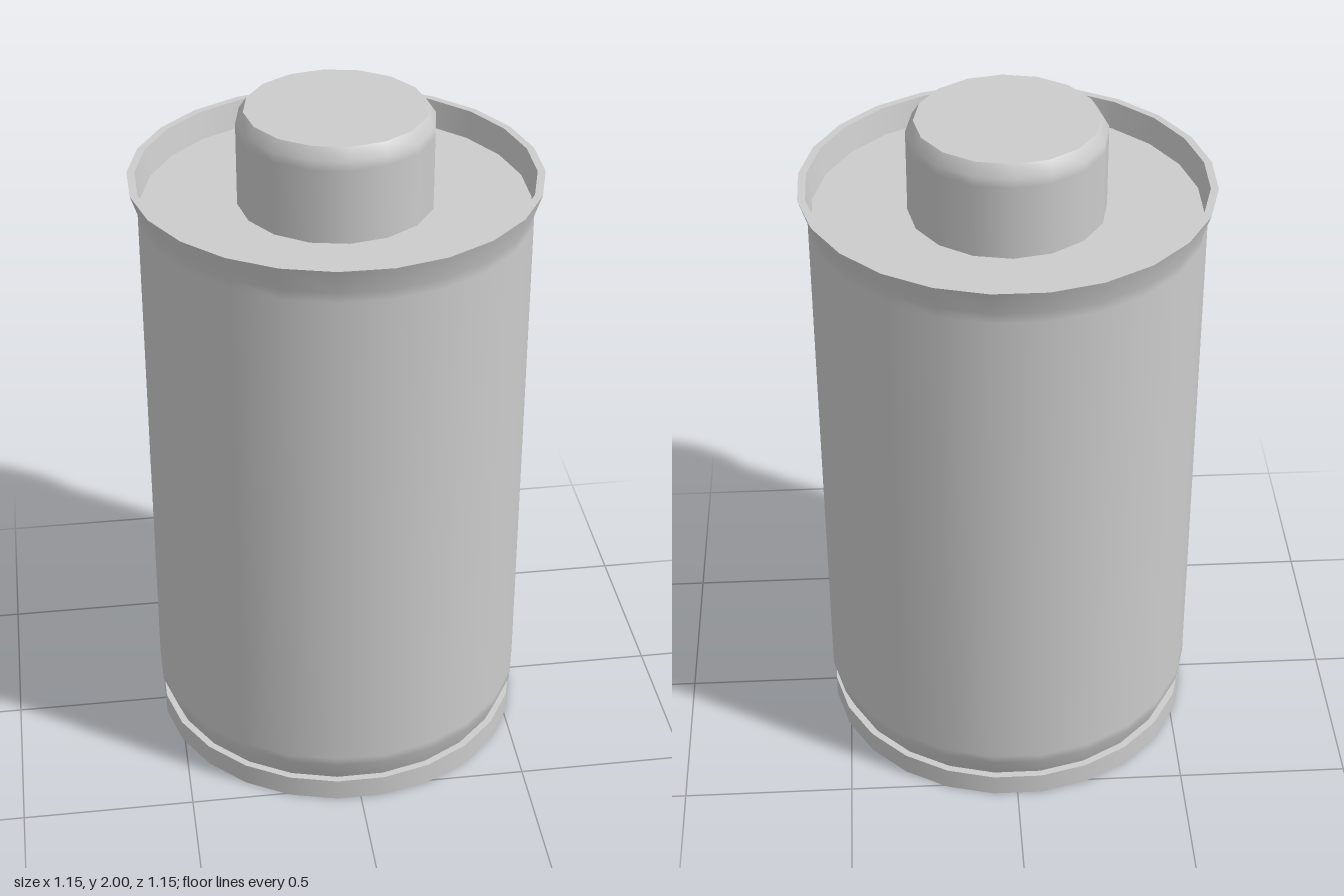
import * as THREE from 'three';

const material = new THREE.MeshStandardMaterial({ color: 0xcccccc });

// Revolves each [radius, y] profile on its own, so edges between profiles stay sharp.
function turned(name, sides, startAngle, profiles) {
  const group = new THREE.Group();
  group.name = name;
  for (const [part, profile] of Object.entries(profiles)) {
    const points = profile.map(([r, y]) => new THREE.Vector2(r, y));
    const mesh = new THREE.Mesh(new THREE.LatheGeometry(points, sides, startAngle, Math.PI * 2), material);
    mesh.name = part;
    group.add(mesh);
  }
  return group;
}

export function createModel() {
  const model = new THREE.Group();
  model.name = 'canister';
  const halfSide = Math.PI / 24; // turns a flat side to the front

  // Base disc
  model.add(turned('base', 24, halfSide, {
    baseBottom: [[0, 0], [0.548, 0]],
    baseSide: [[0.548, 0], [0.548, 0.067]],
    baseTop: [[0.548, 0.067], [0, 0.067]],
  }));

  // Body with tapered foot, flared rim and recessed deck
  model.add(turned('body', 24, halfSide, {
    bodyWall: [[0.527, 0.067], [0.555, 0.135], [0.555, 0.16], [0.555, 1.7], [0.555, 1.73], [0.58, 1.805]],
    rimTop: [[0.58, 1.805], [0.558, 1.805]],
    rimInside: [[0.558, 1.805], [0.545, 1.725]],
    deck: [[0.545, 1.725], [0, 1.725]],
  }));

  // Knob rising from the deck
  model.add(turned('knob', 16, 0, {
    knobSide: [[0.277, 1.725], [0.277, 1.94], [0.277, 1.967], [0.255, 2]],
    knobTop: [[0.255, 2], [0, 2]],
  }));

  return model;
}
